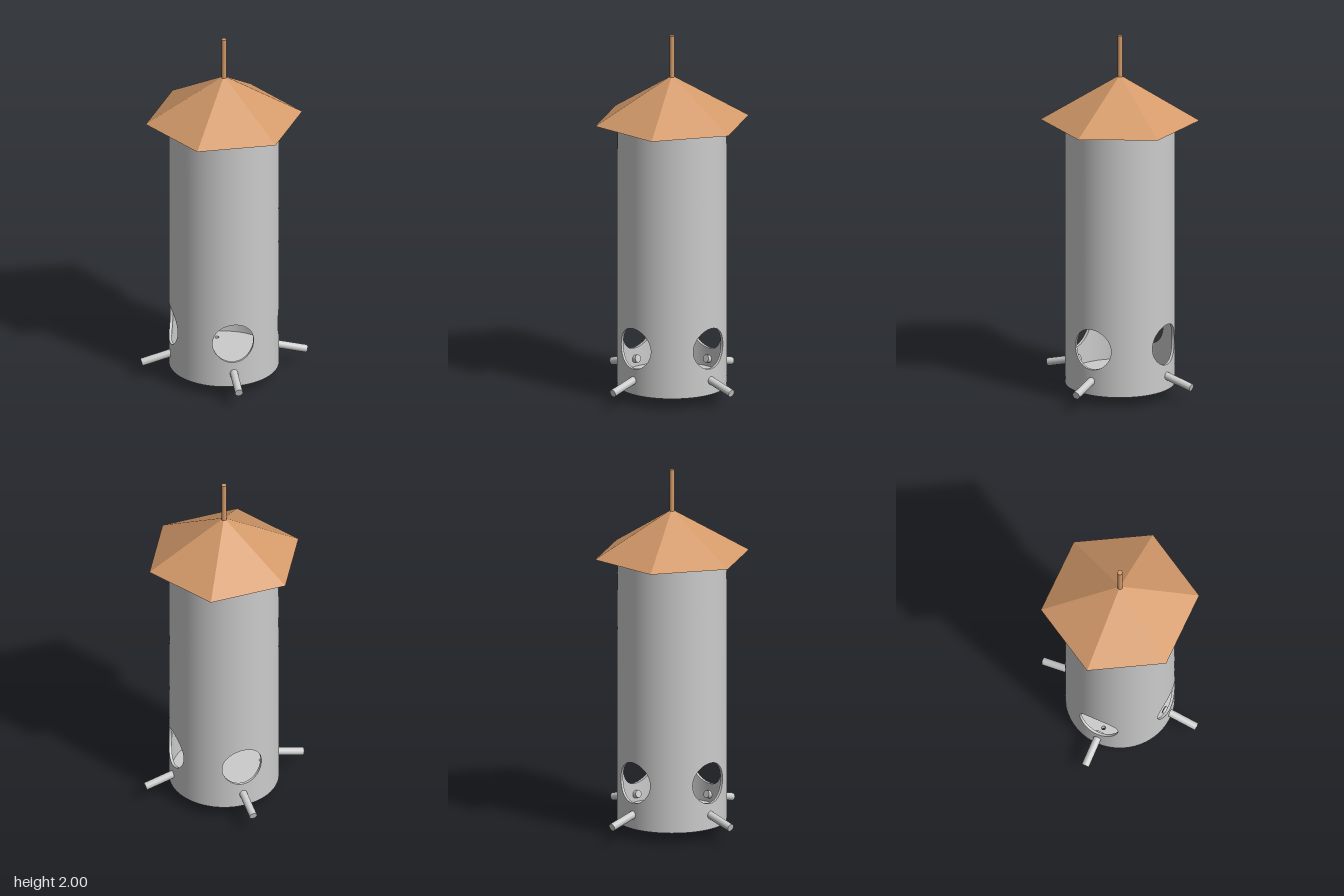
import * as THREE from 'three';
import { ParametricGeometry } from 'three/addons/geometries/ParametricGeometry.js';

const OUTER = 0.295, INNER = 0.28;          // tube wall radii
const BOTTOM = 0.06, TOP = 1.527;           // tube ends
const HOLE_R = 0.112, HOLE_Y = 0.315;       // feeding holes

const grey = new THREE.MeshStandardMaterial({ color: 0xcccccc });
const copper = new THREE.MeshStandardMaterial({ color: 0xd49a6a });
const copperFlat = new THREE.MeshStandardMaterial({ color: 0xd49a6a, flatShading: true });
const brown = new THREE.MeshStandardMaterial({ color: 0x7c6654 });

function addMesh(parent, name, geometry, material) {
  const mesh = new THREE.Mesh(geometry, material);
  mesh.name = name;
  parent.add(mesh);
  return mesh;
}

function cylinder(parent, name, radius, y0, y1, material, sides = 40) {
  const mesh = addMesh(parent, name, new THREE.CylinderGeometry(radius, radius, y1 - y0, sides), material);
  mesh.position.y = (y0 + y1) / 2;
  return mesh;
}

// Quarter of a cylinder wall, spreading from the round hole to the panel's edges
function wallPanel(r, direction) {
  return new ParametricGeometry((u, v, target) => {
    const t = direction * u * Math.PI * 2;
    const c = Math.cos(t), s = Math.sin(t);
    const m = Math.max(Math.abs(c), Math.abs(s));
    const angle = THREE.MathUtils.lerp(Math.asin(HOLE_R * c / r), Math.PI / 4 * c / m, v);
    const reach = s > 0 ? TOP - HOLE_Y : HOLE_Y - BOTTOM;
    const y = HOLE_Y + THREE.MathUtils.lerp(HOLE_R * s, reach * s / m, v);
    target.set(r * Math.sin(angle), y, r * Math.cos(angle));
  }, 80, 12);
}

// Thickness of the wall around a hole
function holeRim() {
  return new ParametricGeometry((u, v, target) => {
    const t = u * Math.PI * 2, x = HOLE_R * Math.cos(t);
    const r = THREE.MathUtils.lerp(OUTER, INNER, v);
    target.set(x, HOLE_Y + HOLE_R * Math.sin(t), Math.sqrt(r * r - x * x));
  }, 80, 1);
}

export function createModel() {
  const group = new THREE.Group();
  group.name = 'birdFeeder';

  // Four sides, each with a wall panel, a feeding hole and a sloping perch
  const outer = wallPanel(OUTER, -1), inner = wallPanel(INNER, 1), rim = holeRim();
  const perchGeometry = new THREE.CylinderGeometry(0.021, 0.021, 0.2, 24).rotateX(Math.PI / 2);
  for (let i = 0; i < 4; i++) {
    const side = new THREE.Group();
    side.name = 'feedingSide' + (i + 1);
    side.rotation.y = i * Math.PI / 2;
    addMesh(side, 'outerWall', outer, grey);
    addMesh(side, 'innerWall', inner, grey);
    addMesh(side, 'holeRim', rim, grey);
    const perch = addMesh(side, 'perch', perchGeometry, grey);
    perch.position.set(0, 0.123, 0.353);
    perch.rotation.x = 0.26;
    group.add(side);
  }

  // Floor with four drain holes
  const floorShape = new THREE.Shape();
  floorShape.absarc(0, 0, OUTER - 0.0005, 0, Math.PI * 2, false);
  for (let i = 0; i < 4; i++) {
    const a = i * Math.PI / 2, drain = new THREE.Path();
    drain.absarc(0.213 * Math.cos(a), 0.213 * Math.sin(a), 0.011, 0, Math.PI * 2, true);
    floorShape.holes.push(drain);
  }
  const floorGeometry = new THREE.ExtrudeGeometry(floorShape, { depth: 0.04, bevelEnabled: false, curveSegments: 40 });
  const floor = addMesh(group, 'floor', floorGeometry.rotateX(-Math.PI / 2), grey);
  floor.position.y = BOTTOM;

  // Mounting foot
  cylinder(group, 'footFlange', 0.125, 0.033, BOTTOM, brown);
  cylinder(group, 'footSocket', 0.056, 0, 0.034, brown);

  // Six-sided roof with corners on the x axis, and its hanging rod
  const roof = addMesh(group, 'roof', new THREE.ConeGeometry(0.426, 0.253, 6), copperFlat);
  roof.rotation.y = Math.PI / 6;
  roof.position.y = 1.527 + 0.253 / 2;
  cylinder(group, 'hangingRod', 0.014, 1.74, 2, copper, 24);

  return group;
}
